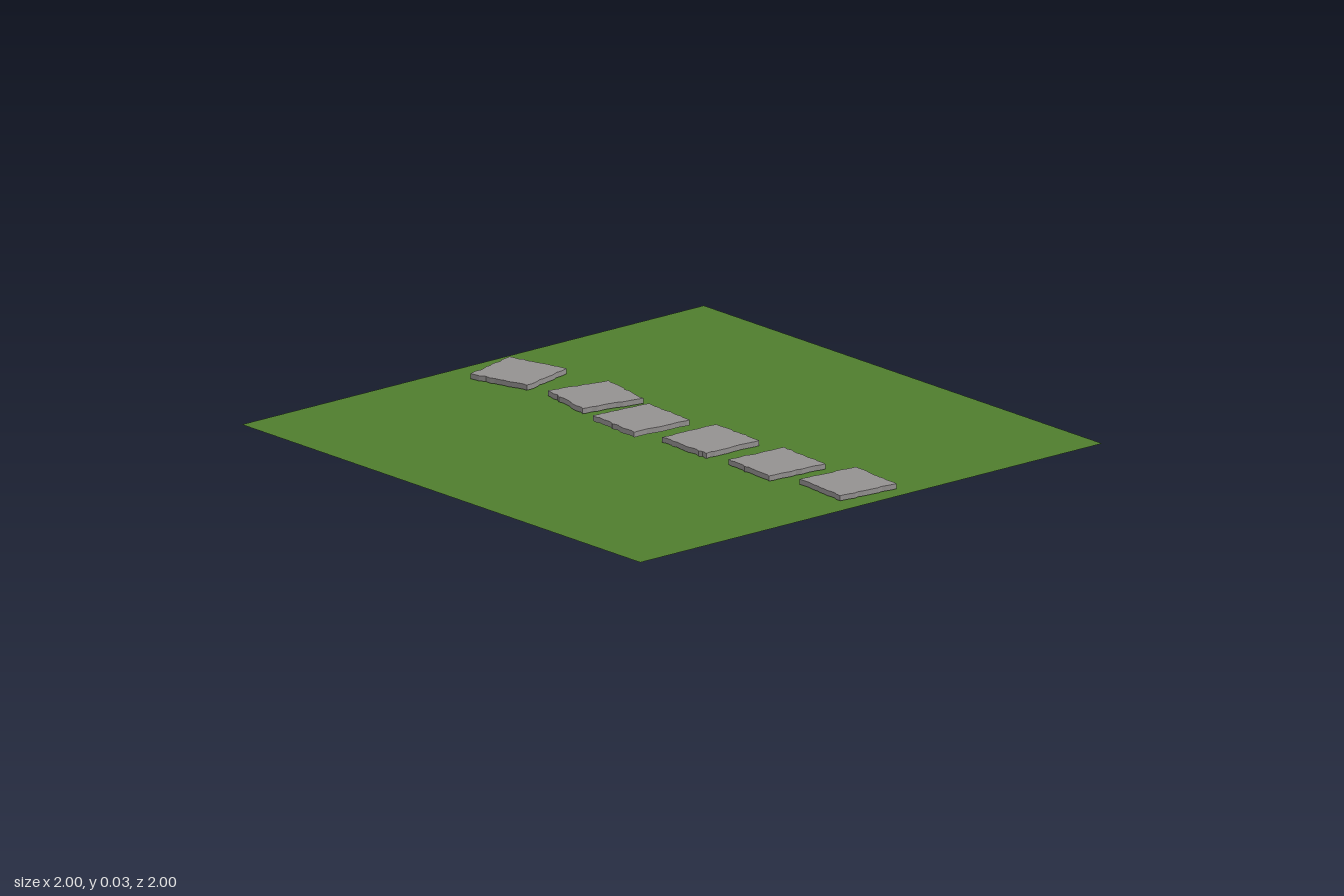
import * as THREE from 'three';

const stone = new THREE.MeshStandardMaterial({ color: 0x949190 });
stone.name = 'stone grey';
const grass = new THREE.MeshStandardMaterial({ color: 0x4f7d2d, side: THREE.DoubleSide });
grass.name = 'grass green';

// Small seeded generator for the chipped edges
function seeded(seed) {
  let s = seed;
  return () => (s = (s * 16807) % 2147483647) / 2147483647;
}

// Flat slab lying on its back, square with a roughly chipped outline
function slabGeometry(size, thickness, rand) {
  const steps = 12, half = size / 2, chip = 0.008;
  const points = [];
  for (let side = 0; side < 4; side++) {
    const a = side * Math.PI / 2;
    for (let i = 0; i < steps; i++) {
      const along = -half + size * i / steps + (i ? (rand() - 0.5) * 0.008 : 0);
      const out = half + (rand() - 0.6) * chip;
      points.push(new THREE.Vector2(
        along * Math.cos(a) + out * Math.sin(a),
        along * Math.sin(a) - out * Math.cos(a)
      ));
    }
  }
  const geo = new THREE.ExtrudeGeometry(new THREE.Shape(points), { depth: thickness, bevelEnabled: false });
  return geo.rotateX(-Math.PI / 2);
}

export function createModel() {
  const model = new THREE.Group();
  model.name = 'steppingStonePath';

  // Lawn: a single flat sheet
  const lawn = new THREE.Mesh(new THREE.PlaneGeometry(2, 2).rotateX(-Math.PI / 2), grass);
  lawn.name = 'lawn';
  model.add(lawn);

  // Stepping stones, back to front: x, base y, z, turn
  const stones = [
    [0.024, 0.005, -0.797, 0.26],
    [0.046, 0.005, -0.438, -0.19],
    [-0.013, 0.008, -0.139, -0.08],
    [0.022, 0.002, 0.171, -0.03],
    [0.016, 0.004, 0.507, -0.08],
    [0.052, 0.004, 0.824, -0.08],
  ];
  const rand = seeded(4711);
  stones.forEach(([x, y, z, turn], i) => {
    const slab = new THREE.Mesh(slabGeometry(0.228, 0.018, rand), stone);
    slab.name = `steppingStone${i + 1}`;
    slab.position.set(x, y, z);
    slab.rotation.y = turn;
    model.add(slab);
  });

  return model;
}
